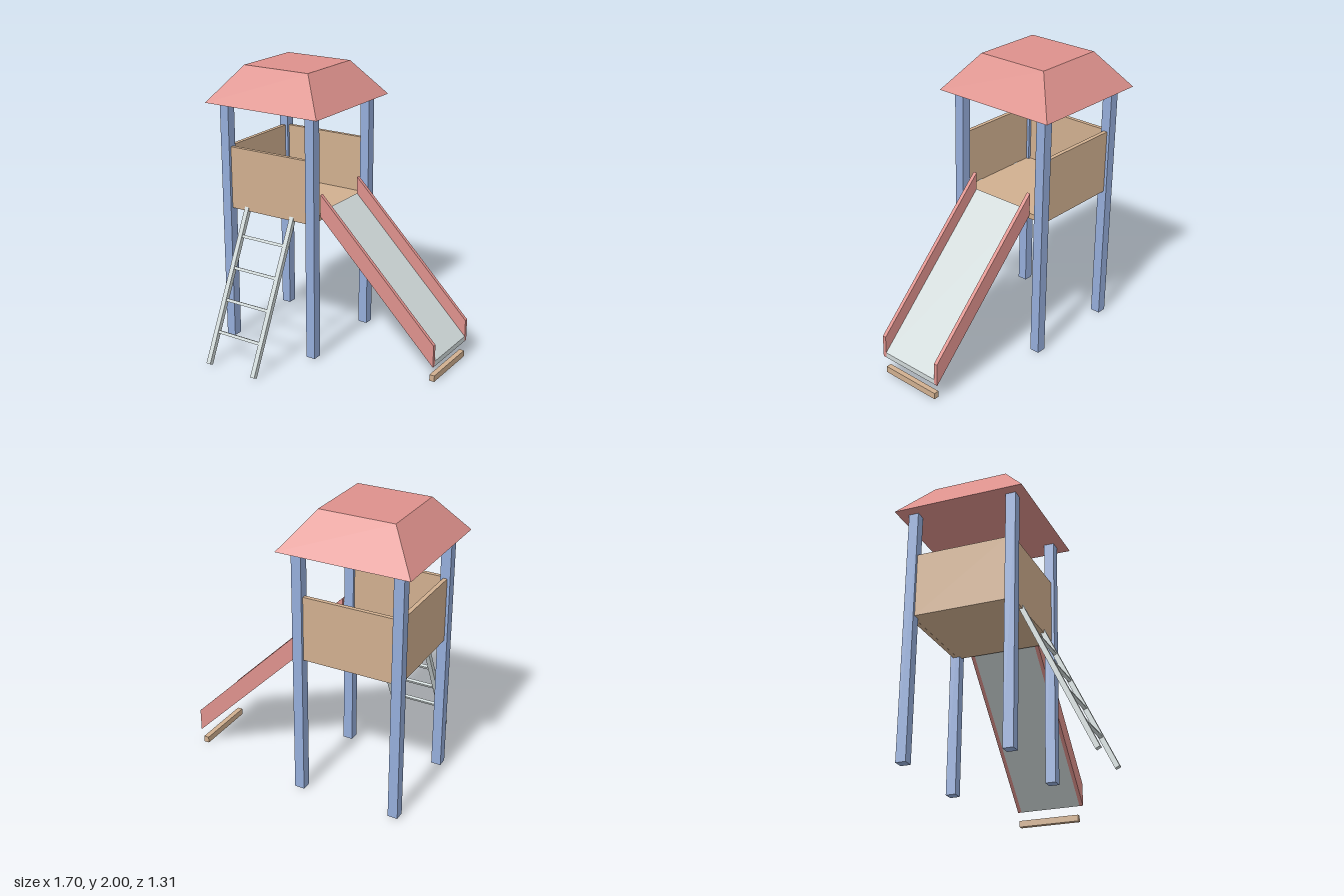
import * as THREE from 'three';

const material = (name, color) => {
  const m = new THREE.MeshStandardMaterial({ color });
  m.name = name;
  return m;
};

export function createModel() {
  const red = material('red', 0xdd918c);
  const blue = material('blue', 0x95adda);
  const wood = material('wood', 0xd0af8f);
  const metal = material('pale metal', 0xd0d9d9);

  const group = new THREE.Group();
  group.name = 'playTower';

  const add = (name, geometry, mat, parent = group) => {
    const mesh = new THREE.Mesh(geometry, mat);
    mesh.name = name;
    parent.add(mesh);
    return mesh;
  };
  // Box given by its minimum and maximum on each axis
  const box = (name, mat, [x0, x1], [y0, y1], [z0, z1], parent) => {
    const mesh = add(name, new THREE.BoxGeometry(x1 - x0, y1 - y0, z1 - z0), mat, parent);
    mesh.position.set((x0 + x1) / 2, (y0 + y1) / 2, (z0 + z1) / 2);
    return mesh;
  };

  // Tower, built around its own centre
  const tower = new THREE.Group();
  tower.name = 'tower';
  tower.position.set(-0.394, 0, -0.199);
  group.add(tower);

  const inner = 0.315, outer = 0.384;
  for (const sx of [-1, 1]) for (const sz of [-1, 1]) {
    const post = add('post', new THREE.BoxGeometry(outer - inner, 1.74, outer - inner), blue, tower);
    post.position.set(sx * (inner + outer) / 2, 0.88, sz * (inner + outer) / 2);
  }

  // Floor and three walls; the slide side stays open
  const wallIn = 0.335, wallOut = 0.364, wallY = [0.995, 1.44];
  box('floor', wood, [-wallIn, 0.349], [0.996, 1.035], [-wallIn, wallIn], tower);
  box('frontWall', wood, [-inner, inner], wallY, [wallIn, wallOut], tower);
  box('backWall', wood, [-inner, inner], wallY, [-wallOut, -wallIn], tower);
  box('sideWall', wood, [-wallOut, -wallIn], wallY, [-inner, inner], tower);

  // Roof: a box with its top corners drawn inwards
  const eave = 0.455, ridge = 0.26;
  const roofGeometry = new THREE.BoxGeometry(2 * eave, 0.25, 2 * eave).toNonIndexed();
  const p = roofGeometry.attributes.position;
  for (let i = 0; i < p.count; i++) {
    if (p.getY(i) > 0) {
      p.setX(i, Math.sign(p.getX(i)) * ridge);
      p.setZ(i, Math.sign(p.getZ(i)) * ridge);
    }
  }
  roofGeometry.computeVertexNormals();
  add('roof', roofGeometry, red, tower).position.y = 1.875;

  // Slide: sloping slabs with upright ends
  const slide = new THREE.Group();
  slide.name = 'slide';
  slide.position.z = -0.199;
  group.add(slide);

  const slab = (name, mat, height, z0, z1) => {
    const [xa, ya, xb, yb] = [-0.045, 1.02, 0.847, 0.128];
    const shape = new THREE.Shape([
      new THREE.Vector2(xa, ya),
      new THREE.Vector2(xb, yb),
      new THREE.Vector2(xb, yb + height),
      new THREE.Vector2(xa, ya + height),
    ]);
    const geometry = new THREE.ExtrudeGeometry(shape, { depth: z1 - z0, bevelEnabled: false });
    add(name, geometry, mat, slide).position.z = z0;
  };
  slab('slideBed', metal, 0.037, -0.223, 0.223);
  slab('slideSide', red, 0.159, 0.223, 0.249);
  slab('slideSide', red, 0.159, -0.249, -0.223);
  box('footBlock', wood, [0.81, 0.847], [0.01, 0.055], [-0.223, 0.223], slide);

  // Ladder leaning on the front wall; its local y runs along the rails
  const ladder = new THREE.Group();
  ladder.name = 'ladder';
  ladder.position.set(-0.395, 0.008, 0.637);
  const lean = 0.45;
  ladder.rotation.x = -lean;
  group.add(ladder);

  const length = 1.145;
  for (const s of [-1, 1]) {
    const rail = add('ladderRail', new THREE.BoxGeometry(0.033, length, 0.033), metal, ladder);
    rail.position.set(s * 0.189, length / 2, 0);
  }
  for (const y of [0.217, 0.422, 0.627, 0.832]) {
    const rung = add('ladderRung', new THREE.BoxGeometry(0.346, 0.021, 0.021), metal, ladder);
    rung.position.y = (y - 0.008) / Math.cos(lean);
  }

  return group;
}
